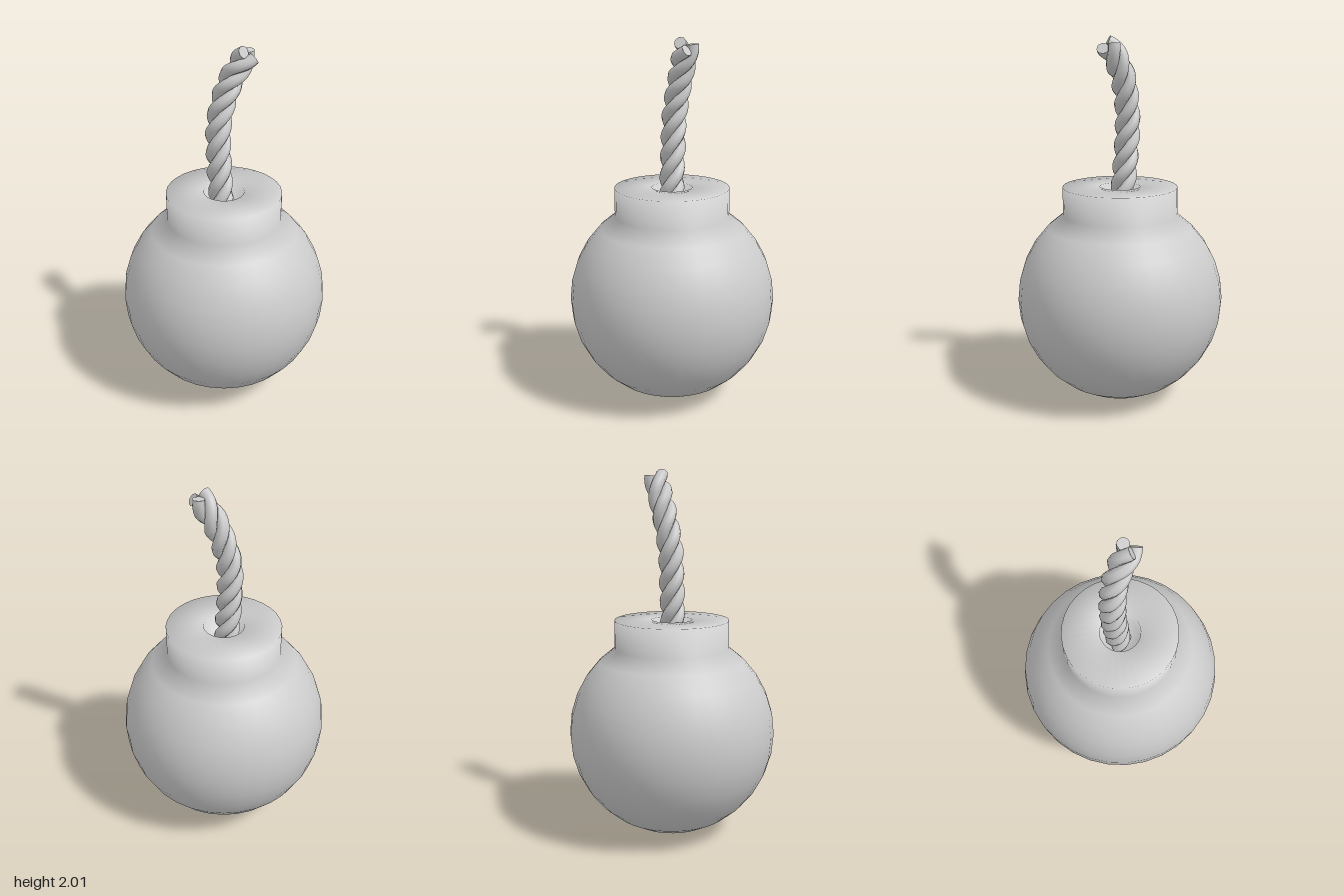
import * as THREE from 'three';

const grey = new THREE.MeshStandardMaterial({ color: 0xcccccc });
grey.name = 'plain grey';

const R = 0.57, COLLAR = 0.315, TOP = 1.2, HOLE = 0.11;

// Round body, collar and fuse hole as one smooth turned profile
function makeBody() {
  const profile = [];
  const end = Math.PI - Math.asin(COLLAR / R);
  for (let i = 0; i <= 13; i++) {
    const a = (end * i) / 13;
    profile.push(new THREE.Vector2(R * Math.sin(a), R - R * Math.cos(a)));
  }
  profile[0].x = 0;
  profile.push(
    new THREE.Vector2(COLLAR, TOP),
    new THREE.Vector2(HOLE, TOP),
    new THREE.Vector2(HOLE, TOP - 0.1),
    new THREE.Vector2(0, TOP - 0.1)
  );
  const mesh = new THREE.Mesh(new THREE.LatheGeometry(profile, 32), grey);
  mesh.name = 'body';
  return mesh;
}

// Bent centre line of the fuse
const fusePath = new THREE.CatmullRomCurve3([
  [-0.01, 1.1, 0.01], [-0.018, 1.2, 0.007], [-0.035, 1.4, 0.005], [-0.04, 1.6, -0.003],
  [-0.008, 1.8, -0.045], [0.03, 1.89, -0.072], [0.075, 1.967, -0.1]
].map((p) => new THREE.Vector3(...p)));

// Three strands twisted round the centre line
function makeFuse() {
  const fuse = new THREE.Group();
  fuse.name = 'fuse';
  const strands = 3, offset = 0.037, radius = 0.033, pitch = 0.33, steps = 48;
  const turns = fusePath.getLength() / pitch;
  for (let s = 0; s < strands; s++) {
    const points = [];
    for (let i = 0; i <= steps; i++) {
      const u = i / steps;
      const t = fusePath.getTangentAt(u);
      const side = new THREE.Vector3(1, 0, 0).addScaledVector(t, -t.x).normalize();
      const back = new THREE.Vector3().crossVectors(side, t).negate();
      const a = 2 * Math.PI * (turns * u + s / strands);
      points.push(fusePath.getPointAt(u)
        .addScaledVector(side, offset * Math.cos(a))
        .addScaledVector(back, offset * Math.sin(a)));
    }
    const curve = new THREE.CatmullRomCurve3(points);
    const strand = new THREE.Mesh(new THREE.TubeGeometry(curve, 60, radius, 8), grey);
    strand.name = 'fuseStrand';
    fuse.add(strand);

    // Cut end of the strand
    const cap = new THREE.Mesh(new THREE.CircleGeometry(radius, 8), grey);
    cap.name = 'fuseStrandEnd';
    cap.position.copy(curve.getPointAt(1));
    cap.quaternion.setFromUnitVectors(new THREE.Vector3(0, 0, 1), curve.getTangentAt(1));
    fuse.add(cap);
  }
  return fuse;
}

export function createModel() {
  const model = new THREE.Group();
  model.name = 'roundBomb';
  model.add(makeBody(), makeFuse());
  return model;
}
